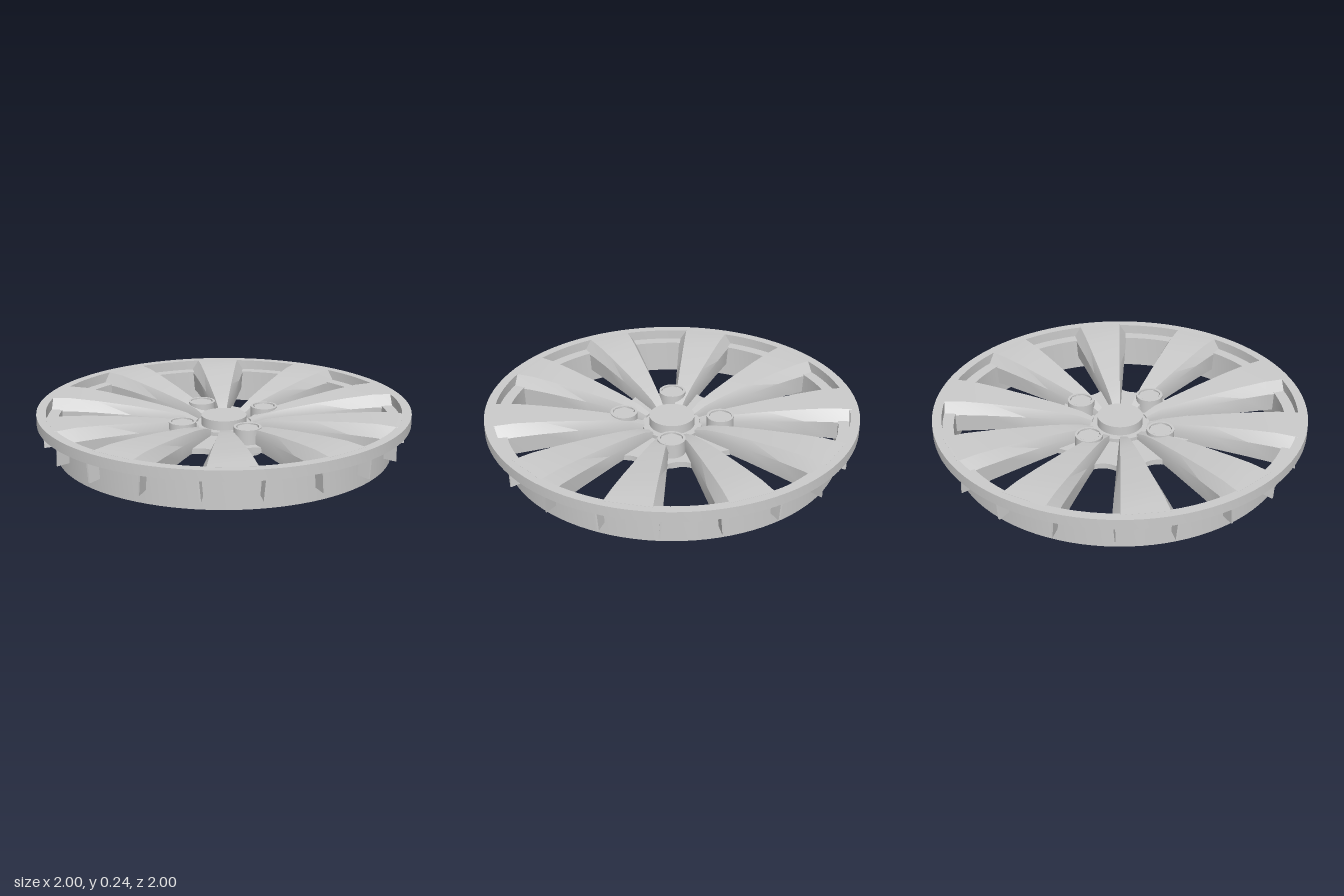
import * as THREE from 'three';
import { toCreasedNormals } from 'three/addons/utils/BufferGeometryUtils.js';

const material = new THREE.MeshStandardMaterial({ color: 0xcccccc });
const SPOKES = 10;

function part(name, geometry, crease = 0.5) {
  const mesh = new THREE.Mesh(toCreasedNormals(geometry, crease), material);
  mesh.name = name;
  return mesh;
}

// Solid of revolution from a closed [radius, height] outline
function ring(name, outline, segments = 96) {
  const points = [...outline, outline[0]].map(([r, y]) => new THREE.Vector2(r, y));
  return part(name, new THREE.LatheGeometry(points, segments), 0.2);
}

// Hollow spoke: a thin channel lofted outwards along +x.
// Each station: [radius, top height, bottom height]
function spokeGeometry() {
  const stations = [
    [0.15, 0.145, 0.09], [0.22, 0.171, 0.09], [0.33, 0.191, 0.09], [0.5, 0.212, 0.087],
    [0.7, 0.231, 0.08], [0.84, 0.24, 0.073], [0.955, 0.2365, 0.063],
  ];
  const w = 0.009; // wall thickness
  const positions = [];
  for (const [x, top, bottom] of stations) {
    const k = (x - 0.15) / 0.8;
    const t = 0.018 + 0.102 * k; // half width on top
    const m = 0.022 + 0.141 * k; // half width at the shoulder
    const b = 0.02 + 0.134 * k; // half width at the foot of the walls
    const mid = bottom + 0.62 * (top - bottom);
    const half = [[b, bottom], [m, mid], [t, top]];
    const inner = [[t - w, top - 0.014], [m - w, mid - 0.005], [b - w, bottom]];
    const section = [
      ...half.map(([z, y]) => [-z, y]), ...half.toReversed(),
      ...inner.toReversed(), ...inner.map(([z, y]) => [-z, y]),
    ];
    for (const [z, y] of section) positions.push(x, y, z);
  }
  const index = [];
  const quad = (a, b, c, d) => index.push(a, b, c, a, c, d);
  for (let i = 0; i < stations.length - 1; i++) {
    for (let j = 0; j < 12; j++) {
      const n = (j + 1) % 12;
      quad(i * 12 + j, i * 12 + n, i * 12 + 12 + n, i * 12 + 12 + j);
    }
  }
  const e = (stations.length - 1) * 12;
  for (let j = 0; j < 5; j++) {
    quad(11 - j, 10 - j, j + 1, j);
    quad(e + j, e + j + 1, e + 10 - j, e + 11 - j);
  }
  const geometry = new THREE.BufferGeometry();
  geometry.setAttribute('position', new THREE.Float32BufferAttribute(positions, 3));
  geometry.setIndex(index);
  return geometry;
}

// Web joining two spokes near the hub, with a hollowed outer edge
function webGeometry() {
  const shape = new THREE.Shape();
  const a = 0.175;
  shape.moveTo(0.15 * Math.cos(a), -0.15 * Math.sin(a));
  shape.lineTo(0.395 * Math.cos(a), -0.395 * Math.sin(a));
  shape.quadraticCurveTo(0.345, 0, 0.395 * Math.cos(a), 0.395 * Math.sin(a));
  shape.lineTo(0.15 * Math.cos(a), 0.15 * Math.sin(a));
  const geometry = new THREE.ExtrudeGeometry(shape, { depth: 0.03, bevelEnabled: false, curveSegments: 8 });
  return geometry.rotateX(-Math.PI / 2).translate(0, 0.085, 0);
}

export function createModel() {
  const model = new THREE.Group();
  model.name = 'wheelCover';

  // Outer rim with its ledge and the barrel below
  model.add(ring('rim', [
    [0.89, 0], [0.9, 0], [0.9, 0.174], [0.95, 0.168], [1, 0.18],
    [1, 0.236], [0.95, 0.236], [0.95, 0.182], [0.89, 0.182],
  ]));

  // Spokes, whose walls run on through the barrel as fins, and the webs between
  const spoke = spokeGeometry();
  const web = webGeometry();
  for (let i = 0; i < SPOKES; i++) {
    const spokeMesh = part('spoke', spoke);
    spokeMesh.rotation.y = ((i + 0.5) / SPOKES) * Math.PI * 2;
    const webMesh = part('hubWeb', web);
    webMesh.rotation.y = (i / SPOKES) * Math.PI * 2;
    model.add(spokeMesh, webMesh);
  }

  // Hub
  model.add(ring('hubCollar', [[0.11, 0.09], [0.16, 0.09], [0.16, 0.135], [0.11, 0.135]], 48));
  model.add(ring('centreCap', [
    [0.105, 0.1], [0.122, 0.1], [0.122, 0.186], [0, 0.186], [0, 0.16], [0.105, 0.16],
  ], 48));

  // Four bolt sockets with hexagonal nuts
  for (const degrees of [30, 116, 210, 296]) {
    const bolt = new THREE.Group();
    bolt.name = 'bolt';
    bolt.add(ring('boltSocket', [[0.06, 0.055], [0.073, 0.055], [0.073, 0.194], [0.06, 0.194]], 32));
    const nut = part('nut', new THREE.CylinderGeometry(0.06, 0.06, 0.126, 6));
    nut.position.y = 0.126;
    const seat = part('nutSeat', new THREE.CylinderGeometry(0.062, 0.062, 0.12, 32));
    seat.position.y = 0.122;
    bolt.add(nut, seat);
    const a = THREE.MathUtils.degToRad(degrees);
    bolt.position.set(0.26 * Math.cos(a), 0, -0.26 * Math.sin(a));
    model.add(bolt);
  }
  return model;
}
